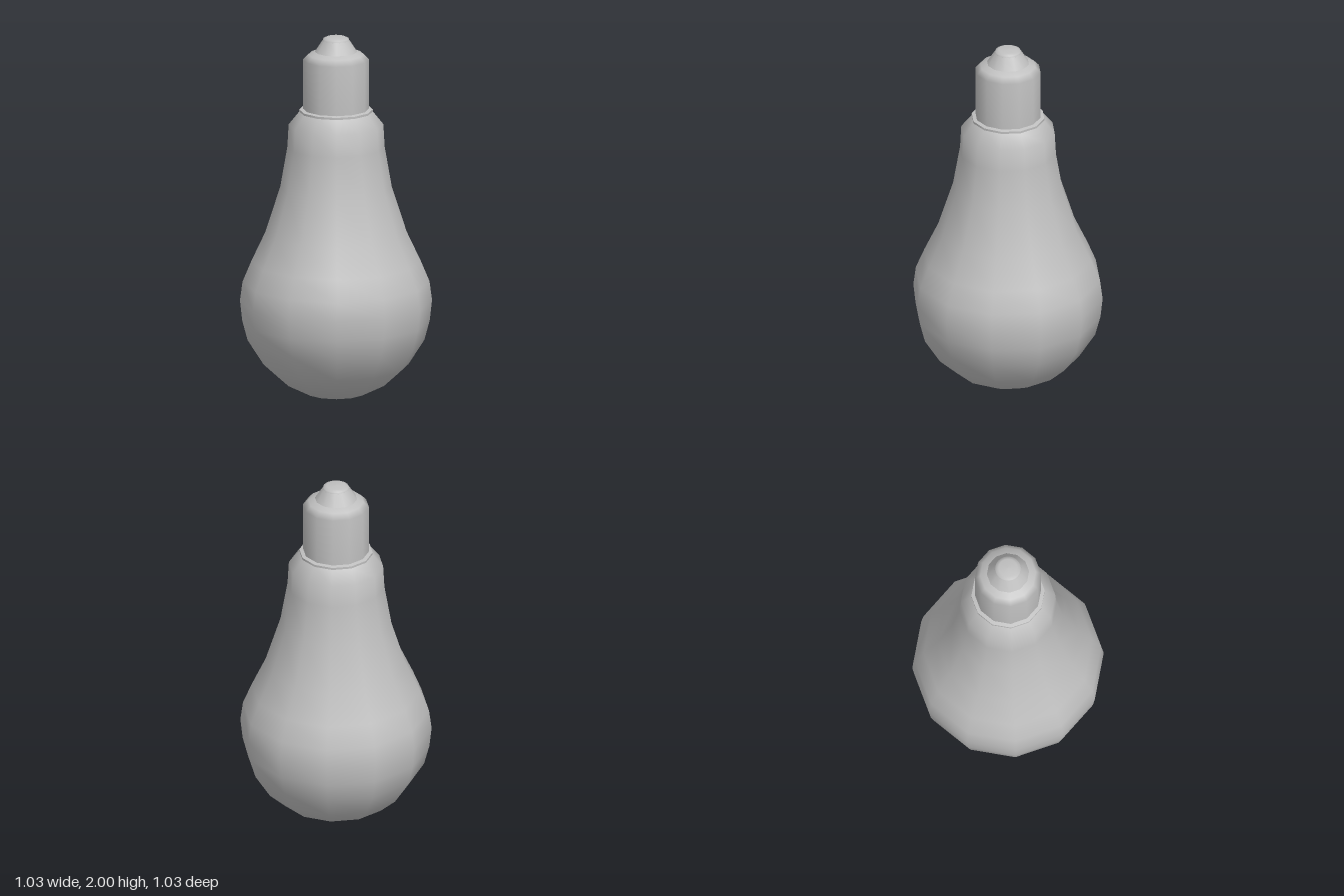
import * as THREE from 'three';

export function createModel() {
  const group = new THREE.Group();
  group.name = 'lightBulb';
  const grey = new THREE.MeshStandardMaterial({ color: 0xc0c0c0 });
  grey.name = 'plain grey';

  // Each part is a turned profile of [radius, height] points, listed bottom to top
  const turn = (name, points, sides = 12) => {
    const profile = points.map(([r, y]) => new THREE.Vector2(r, y));
    const mesh = new THREE.Mesh(new THREE.LatheGeometry(profile, sides), grey);
    mesh.name = name;
    group.add(mesh);
  };

  // Pear-shaped glass, rounded bottom to shoulder
  turn('glassBulb', [
    [0, 0], [0.16, 0.03], [0.296, 0.10], [0.39, 0.185], [0.476, 0.32],
    [0.505, 0.43], [0.517, 0.54], [0.503, 0.645], [0.455, 0.76], [0.38, 0.92],
    [0.30, 1.17], [0.262, 1.39], [0.255, 1.515], [0.198, 1.585],
  ]);

  // Small lip where the glass meets the cap
  turn('collarSide', [[0.198, 1.585], [0.198, 1.597]]);
  turn('collarTop', [[0.198, 1.597], [0.177, 1.602]]);

  // Metal cap with a bevelled top edge
  turn('capBarrel', [[0.178, 1.595], [0.178, 1.873], [0.15, 1.902], [0.112, 1.918]]);

  // Tapered insulator and rounded contact
  turn('insulator', [[0.116, 1.914], [0.072, 1.982]]);
  turn('contact', [[0.072, 1.978], [0.068, 1.99], [0.05, 1.998], [0, 2]], 24);

  return group;
}
